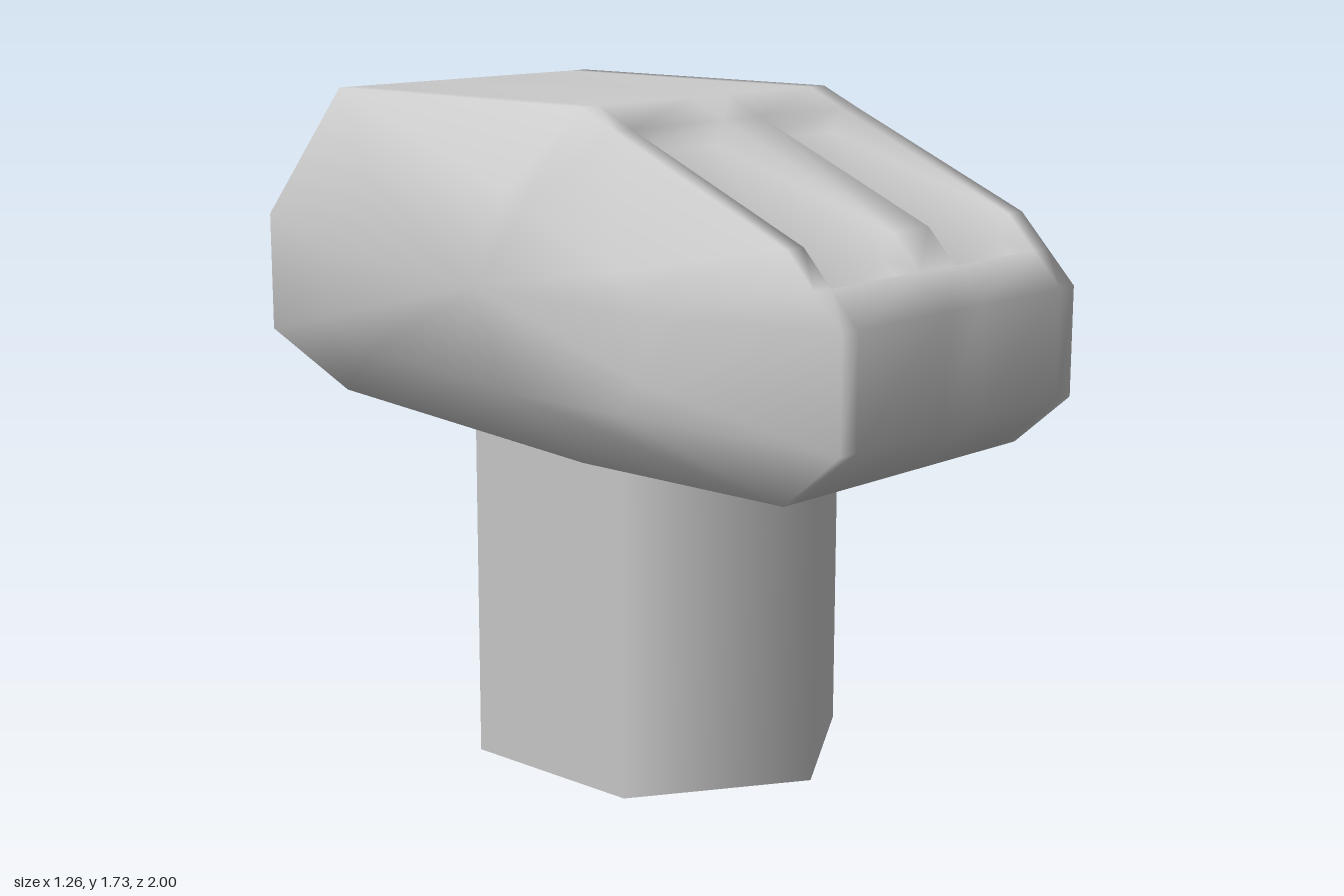
import * as THREE from 'three';
import { mergeVertices } from 'three/addons/utils/BufferGeometryUtils.js';

// Side outline of the head as [z, y], running front -> top -> back -> underside
const PROFILE = [
  [1, 1], [1, 1.28], [0.92, 1.365], [0.84, 1.45], [0.31, 1.68], [0.2, 1.73],
  [-0.69, 1.73], [-1, 1.37], [-1, 1.05], [-0.69, 0.92], [0.2, 0.86], [0.84, 0.86],
];
const COLUMNS = [-0.63, -0.46, -0.4, -0.07, 0.07, 0.4, 0.46, 0.63];
const INSET = 0.563;          // size of the outline on the flat sides
const MID_Y = 1.295;
const RECESS_COLUMNS = [2, 4]; // columns holding the two recesses
const RECESS_ROWS = [2, 3];    // outline segments they span
const RECESS = new THREE.Vector3(0, -0.91, -0.41).multiplyScalar(0.07);

function createHead(material) {
  const positions = [];
  const tri = (...points) => points.forEach((p) => positions.push(p.x, p.y, p.z));
  const quad = (a, b, c, d) => { tri(a, b, c); tri(a, c, d); };
  const sunk = (p) => p.clone().add(RECESS);
  const wall = (a, b) => quad(a, b, sunk(b), sunk(a));

  const last = COLUMNS.length - 1;
  const rows = PROFILE.length;
  const point = (i, j) => {
    const [z, y] = PROFILE[j % rows];
    const s = i === 0 || i === last ? INSET : 1;
    return new THREE.Vector3(COLUMNS[i], MID_Y + (y - MID_Y) * s, z * s);
  };

  // Skin around the outline, with the recess cells pushed inward
  for (let i = 0; i < last; i++) {
    for (let j = 0; j < rows; j++) {
      const a = point(i, j), b = point(i + 1, j);
      const c = point(i + 1, j + 1), d = point(i, j + 1);
      if (RECESS_COLUMNS.includes(i) && RECESS_ROWS.includes(j)) {
        quad(sunk(a), sunk(b), sunk(c), sunk(d));
        wall(b, c);
        wall(d, a);
        if (j === RECESS_ROWS[0]) wall(a, b);
        else wall(c, d);
      } else {
        quad(a, b, c, d);
      }
    }
  }

  // Flat sides
  for (let j = 0; j < rows; j++) {
    tri(new THREE.Vector3(COLUMNS[last], MID_Y, 0), point(last, j + 1), point(last, j));
    tri(new THREE.Vector3(COLUMNS[0], MID_Y, 0), point(0, j), point(0, j + 1));
  }

  let geometry = new THREE.BufferGeometry();
  geometry.setAttribute('position', new THREE.Float32BufferAttribute(positions, 3));
  geometry = mergeVertices(geometry, 1e-4);
  geometry.computeVertexNormals();
  const head = new THREE.Mesh(geometry, material);
  head.name = 'head';
  return head;
}

// Open six-sided tube below the head
function createNeck(material) {
  const height = 0.9;
  const geometry = new THREE.CylinderGeometry(0.525, 0.525, height, 6, 1, true);
  geometry.scale(0.42 / (0.525 * Math.sin(Math.PI / 3)), 1, 1);
  geometry.translate(0, height / 2, 0.035);
  const neck = new THREE.Mesh(geometry, material);
  neck.name = 'neck';
  return neck;
}

export function createModel() {
  const material = new THREE.MeshStandardMaterial({ color: 0xcccccc, side: THREE.DoubleSide });
  const model = new THREE.Group();
  model.name = 'headOnNeck';
  model.add(createHead(material), createNeck(material));
  return model;
}
